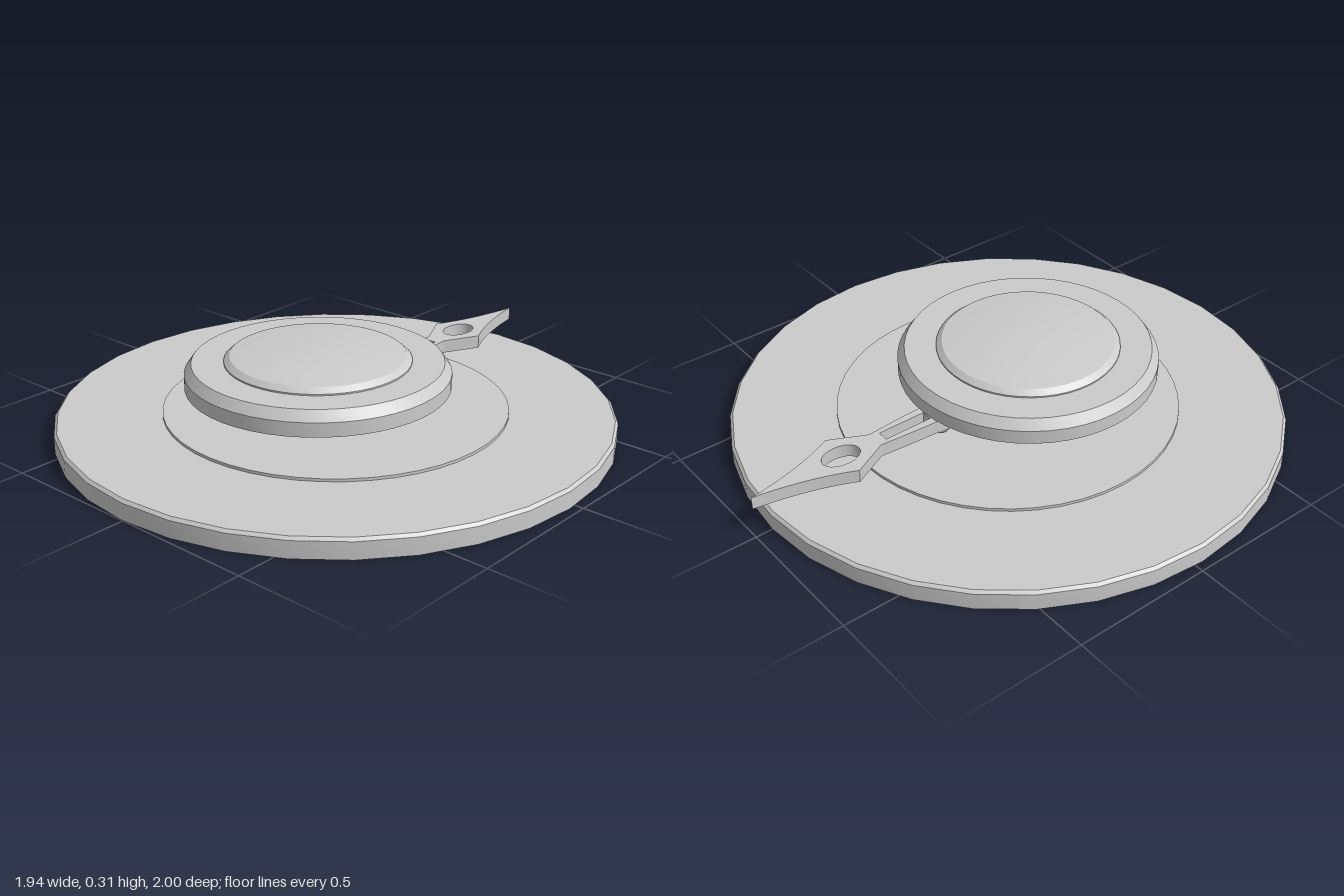
import * as THREE from 'three';
import { toCreasedNormals } from 'three/addons/utils/BufferGeometryUtils.js';

const material = new THREE.MeshStandardMaterial({ color: 0xcccccc });

function add(group, name, geometry, x = 0, y = 0, z = 0) {
  const mesh = new THREE.Mesh(geometry, material);
  mesh.name = name;
  mesh.position.set(x, y, z);
  group.add(mesh);
  return mesh;
}

// Turned part from [radius, height] pairs, bottom to top
function turned(profile, sides) {
  const points = profile.map(([r, y]) => new THREE.Vector2(r, y));
  return toCreasedNormals(new THREE.LatheGeometry(points, sides), 0.3);
}

// Flat pointer drawn with its tip along +y, then laid down to point at -z
function pointerGeometry() {
  const shape = new THREE.Shape();
  shape.moveTo(0.05, 0.3);
  shape.quadraticCurveTo(0.045, 0.42, 0.035, 0.53);
  shape.lineTo(0.1, 0.66);
  shape.quadraticCurveTo(0.03, 0.8, 0, 1);
  shape.quadraticCurveTo(-0.03, 0.8, -0.1, 0.66);
  shape.lineTo(-0.035, 0.53);
  shape.quadraticCurveTo(-0.045, 0.42, -0.05, 0.3);
  shape.closePath();

  const eye = new THREE.Path();
  eye.absellipse(0, 0.665, 0.047, 0.07, 0, Math.PI * 2, true);
  const slot = new THREE.Path([[-0.02, 0.32], [-0.02, 0.5], [0.02, 0.5], [0.02, 0.32]]
    .map(([x, y]) => new THREE.Vector2(x, y)));
  slot.closePath();
  shape.holes.push(eye, slot);

  const geometry = new THREE.ExtrudeGeometry(shape, { depth: 0.047, bevelEnabled: false, curveSegments: 10 });
  geometry.rotateX(-Math.PI / 2);
  return toCreasedNormals(geometry, 0.5);
}

export function createModel() {
  const model = new THREE.Group();
  model.name = 'dialWithPointer';

  // Base plate and the thin raised disc on it
  add(model, 'basePlate', turned([[0, 0], [0.97, 0], [0.97, 0.06], [0.96, 0.07], [0, 0.07]], 32), 0, 0, 0.03);
  add(model, 'raisedDisc', turned([[0.6, 0.065], [0.6, 0.08], [0, 0.08]], 48), 0, 0, 0.03);

  // Off-centre knob: flared stem, bevelled rim and domed cap
  const knob = new THREE.Group();
  knob.name = 'knob';
  knob.position.z = 0.12;
  model.add(knob);
  add(knob, 'stem', turned([[0.175, 0.075], [0.175, 0.1], [0.39, 0.187]], 48));
  add(knob, 'rim', turned([[0, 0.185], [0.455, 0.185], [0.455, 0.235], [0.43, 0.27], [0, 0.27]], 48));
  const cap = [[0.32, 0.265], [0.32, 0.275], [0.3, 0.292]];
  for (let i = 1; i <= 6; i++) {
    const r = 0.3 * (1 - i / 6);
    cap.push([r, 0.312 - 0.02 * (r / 0.3) ** 2]);
  }
  add(knob, 'cap', turned(cap, 48));

  // Pointer with its mounting block and foot under the knob
  add(model, 'pointer', pointerGeometry(), 0, 0.117, 0);
  add(model, 'pointerBlock', new THREE.BoxGeometry(0.1, 0.075, 0.25), 0, 0.15, -0.18);
  const foot = new THREE.CylinderGeometry(0.04, 0.03, 0.027, 20);
  add(model, 'pointerFoot', foot, 0, 0.1, -0.265);

  return model;
}
